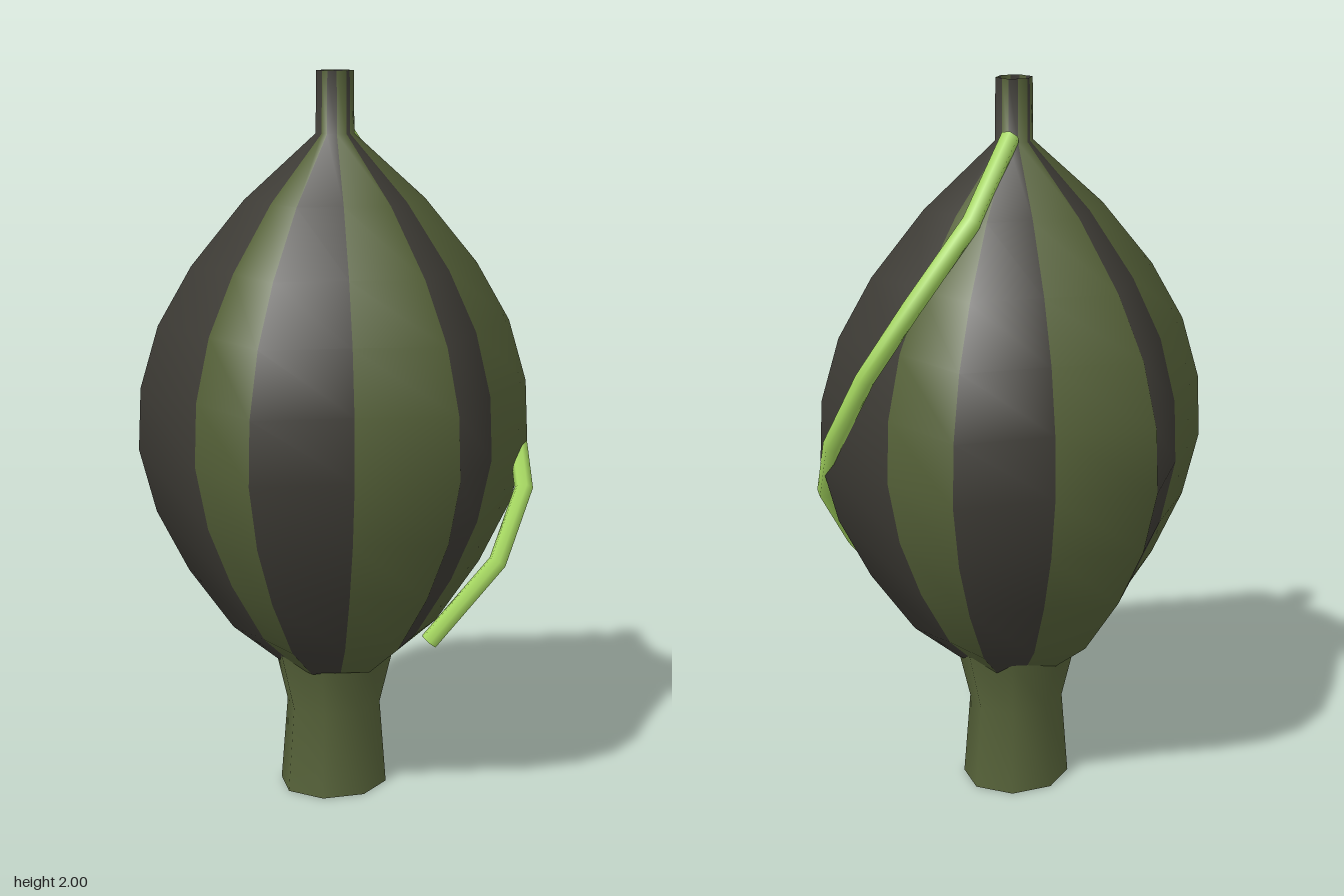
import * as THREE from 'three';

const flat = (name, color) => {
  const m = new THREE.MeshStandardMaterial({ color, side: THREE.DoubleSide });
  m.name = name;
  return m;
};

const profile = (pairs) => pairs.map(([r, y]) => new THREE.Vector2(r, y));

// Straight-sided path whose tube rings land exactly on its corners
class Polyline extends THREE.Curve {
  constructor(points) {
    super();
    this.points = points;
  }
  getPoint(t, target = new THREE.Vector3()) {
    const n = this.points.length - 1;
    const i = Math.min(Math.floor(t * n + 1e-9), n - 1);
    return target.lerpVectors(this.points[i], this.points[i + 1], t * n - i);
  }
  getPointAt(u, target) { return this.getPoint(u, target); }
  getTangentAt(u, target) { return this.getTangent(u, target); }
}

export function createModel() {
  const green = flat('mossGreen', 0x566239);
  const dark = flat('darkBark', 0x3d3b35);
  const lime = flat('limeVine', 0xa6d860);
  const model = new THREE.Group();
  const add = (name, geometry, material) => {
    const mesh = new THREE.Mesh(geometry, material);
    mesh.name = name;
    model.add(mesh);
    return mesh;
  };

  // Bulb and open neck: twelve striped segments, every second rib pulled in
  const bulbProfile = profile([
    [0.16, 0.37], [0.286, 0.47], [0.407, 0.64], [0.493, 0.81], [0.538, 0.985],
    [0.53, 1.155], [0.48, 1.325], [0.388, 1.485], [0.245, 1.66], [0.052, 1.835], [0.05, 2],
  ]);
  const segments = 12, rows = bulbProfile.length;
  const bulb = new THREE.LatheGeometry(bulbProfile, segments);
  const pos = bulb.attributes.position;
  for (let i = 0; i < pos.count; i++) {
    const rib = Math.floor(i / rows);
    // corner ribs lie at 30, 90, 150 degrees and so on
    if (rib % 2 === 0) {
      pos.setX(i, pos.getX(i) * 0.847);
      pos.setZ(i, pos.getZ(i) * 0.847);
    }
  }
  bulb.computeVertexNormals();
  const perSegment = 6 * (rows - 1);
  for (let s = 0; s < segments; s++) bulb.addGroup(s * perSegment, perSegment, s % 2);
  add('stripedBulb', bulb, [green, dark]).position.z = 0.017;

  // Hollow stalk flaring into the bulb
  const stalk = new THREE.LatheGeometry(
    profile([[0.153, 0], [0.134, 0.24], [0.175, 0.41]]), 8);
  stalk.scale(0.94, 1, 1.02);
  add('stalk', stalk, green).position.set(-0.013, 0, 0.014);

  // Vine winding down the back, dipping briefly under the skin
  const vinePoints = [
    [-0.03, 1.85, -0.025], [-0.092, 1.66, -0.22], [-0.045, 1.455, -0.385],
    [0.06, 1.26, -0.458], [0.2, 1.05, -0.46], [0.33, 0.87, -0.385],
    [0.375, 0.69, -0.255], [0.28, 0.47, -0.095],
  ].map((p) => new THREE.Vector3(...p));
  add('vine', new THREE.TubeGeometry(new Polyline(vinePoints), vinePoints.length - 1, 0.026, 6), lime);

  return model;
}
